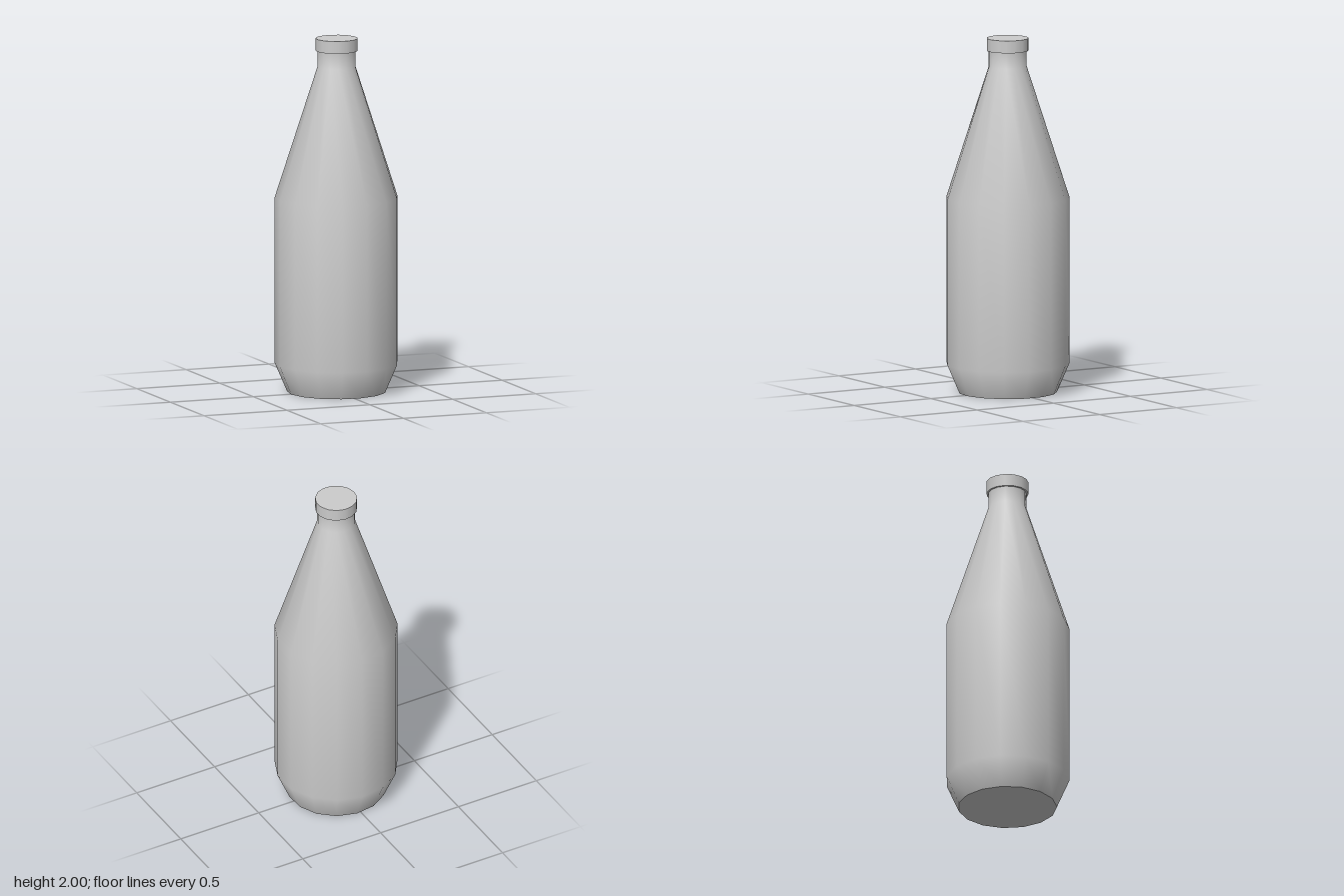
import * as THREE from 'three';

const SIDES = 15;
const PHASE = THREE.MathUtils.degToRad(7.5); // turn of the 15-sided section about y

export function createModel() {
  const group = new THREE.Group();
  group.name = 'bottle';
  const material = new THREE.MeshStandardMaterial({ color: 0xcccccc });

  const add = (name, geometry, y = 0) => {
    const mesh = new THREE.Mesh(geometry, material);
    mesh.name = name;
    mesh.position.set(0.002, y, 0.001);
    group.add(mesh);
  };

  // Body: tapered foot, straight sides, long shoulder and neck, smooth throughout
  const profile = [
    [0.277, 0], [0.346, 0.16], [0.346, 1.1], [0.107, 1.84], [0.107, 1.93],
  ].map(([r, y]) => new THREE.Vector2(r, y));
  add('body', new THREE.LatheGeometry(profile, SIDES, PHASE));

  // Flat base, corners lined up with the foot
  const base = new THREE.CircleGeometry(0.277, SIDES, Math.PI / 2 - PHASE);
  add('base', base.rotateX(Math.PI / 2));

  // Cap: short disc slightly wider than the neck
  add('cap', new THREE.CylinderGeometry(0.118, 0.118, 0.07, SIDES, 1, false, PHASE), 1.965);

  return group;
}
